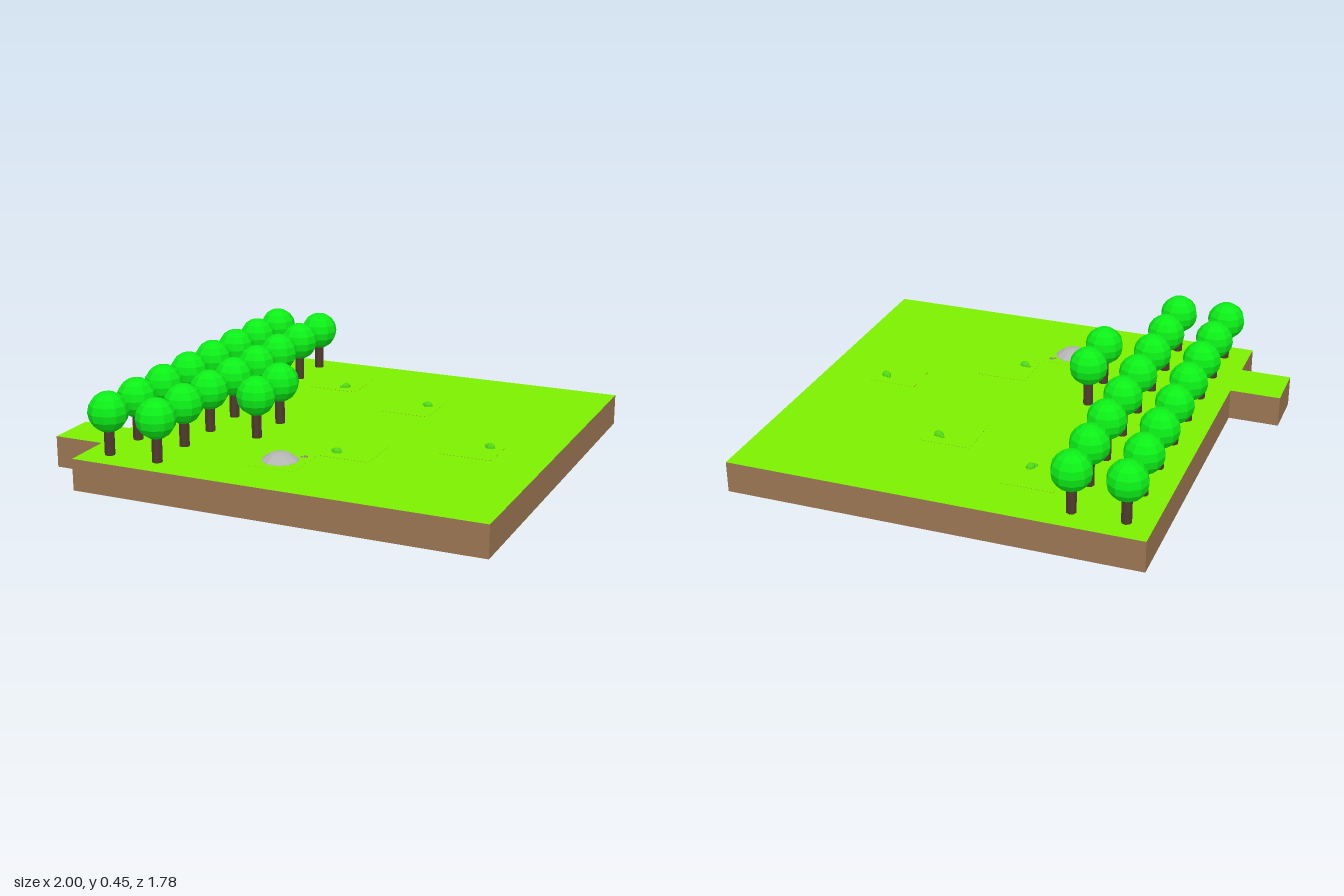
import * as THREE from 'three';

const T = 2 / 9;            // tile size
const TOP = 0.181, BOTTOM = 0.045;

const mat = (color, flatShading = true) => new THREE.MeshStandardMaterial({ color, flatShading });
const dirt = mat(0x9b7653);
const grass = mat(0x7cf000);
const leaf = mat(0x0cee18);
const bark = mat(0x4f3a30);
const stone = mat(0xb4b4b4);
const bushGreen = mat(0x4fd818);
const pebbleBrown = mat(0x8f8474);

function add(parent, name, geometry, material, x, y, z) {
  const mesh = new THREE.Mesh(geometry, material);
  mesh.name = name;
  mesh.position.set(x, y, z);
  parent.add(mesh);
  return mesh;
}

// Dirt block with a grass top face
function block(parent, name, w, d, x, z, top = TOP) {
  const h = top - BOTTOM;
  const sides = [dirt, dirt, grass, dirt, dirt, dirt];
  return add(parent, name, new THREE.BoxGeometry(w, h, d), sides, x, BOTTOM + h / 2, z);
}

export function createModel() {
  const model = new THREE.Group();
  model.name = 'gardenIsland';

  // Ground: eight by eight tiles with one entrance tile on the side
  block(model, 'ground', 8 * T, 8 * T, T / 2, 0);
  block(model, 'entranceTile', T, T, -1 + T / 2, 2.5 * T);

  // Trees, two full rows and a short third one
  const crownGeo = new THREE.SphereGeometry(0.085, 10, 8);
  const trunkGeo = new THREE.CylinderGeometry(0.022, 0.022, 0.16, 8);
  const plantTree = (x, z) => {
    const tree = new THREE.Group();
    tree.name = 'tree';
    tree.position.set(x, 0, z);
    add(tree, 'trunk', trunkGeo, bark, 0, TOP + 0.078, 0);
    add(tree, 'crown', crownGeo, leaf, 0, 0.364, 0);
    model.add(tree);
  };
  for (let row = 0; row < 8; row++) {
    const z = (row - 3.5) * T;
    const count = row === 4 || row === 5 ? 3 : 2;
    for (let i = 0; i < count; i++) plantTree((i - 3) * T, z);
  }

  // Barely raised tiles, each with a small bush: tile column, tile row, bush x, bush z, turn
  const plots = [
    [-1, -2.5, -0.182, -0.503, 1.2],
    [1, -1.5, 0.272, -0.38, -0.2],
    [3, 0.5, 0.717, 0.065, -0.3],
    [1, 1.5, 0.163, 0.375, -0.1],
  ];
  const blobGeo = new THREE.SphereGeometry(1, 8, 6);
  for (const [col, row, x, z, turn] of plots) {
    block(model, 'raisedTile', T, T, col * T, row * T, TOP + 0.0006);
    const bush = new THREE.Group();
    bush.name = 'bush';
    bush.position.set(x, TOP, z);
    bush.rotation.y = turn;
    add(bush, 'bushLarge', blobGeo, bushGreen, 0.004, 0, 0).scale.set(0.023, 0.021, 0.018);
    add(bush, 'bushSmall', blobGeo, bushGreen, -0.018, 0, -0.008).scale.set(0.011, 0.012, 0.009);
    model.add(bush);
  }

  // Boulder sunk through the ground, with two pebbles beside it
  block(model, 'raisedTile', T, T, 0, 2.5 * T, TOP + 0.0003);
  add(model, 'boulder', new THREE.SphereGeometry(0.108, 10, 8), stone, -0.004, 0.108, 2.5 * T);
  add(model, 'pebble', blobGeo, pebbleBrown, 0.075, TOP, 0.482).scale.set(0.011, 0.007, 0.008);
  add(model, 'pebble', blobGeo, pebbleBrown, 0.062, TOP, 0.492).scale.set(0.006, 0.005, 0.006);

  return model;
}
